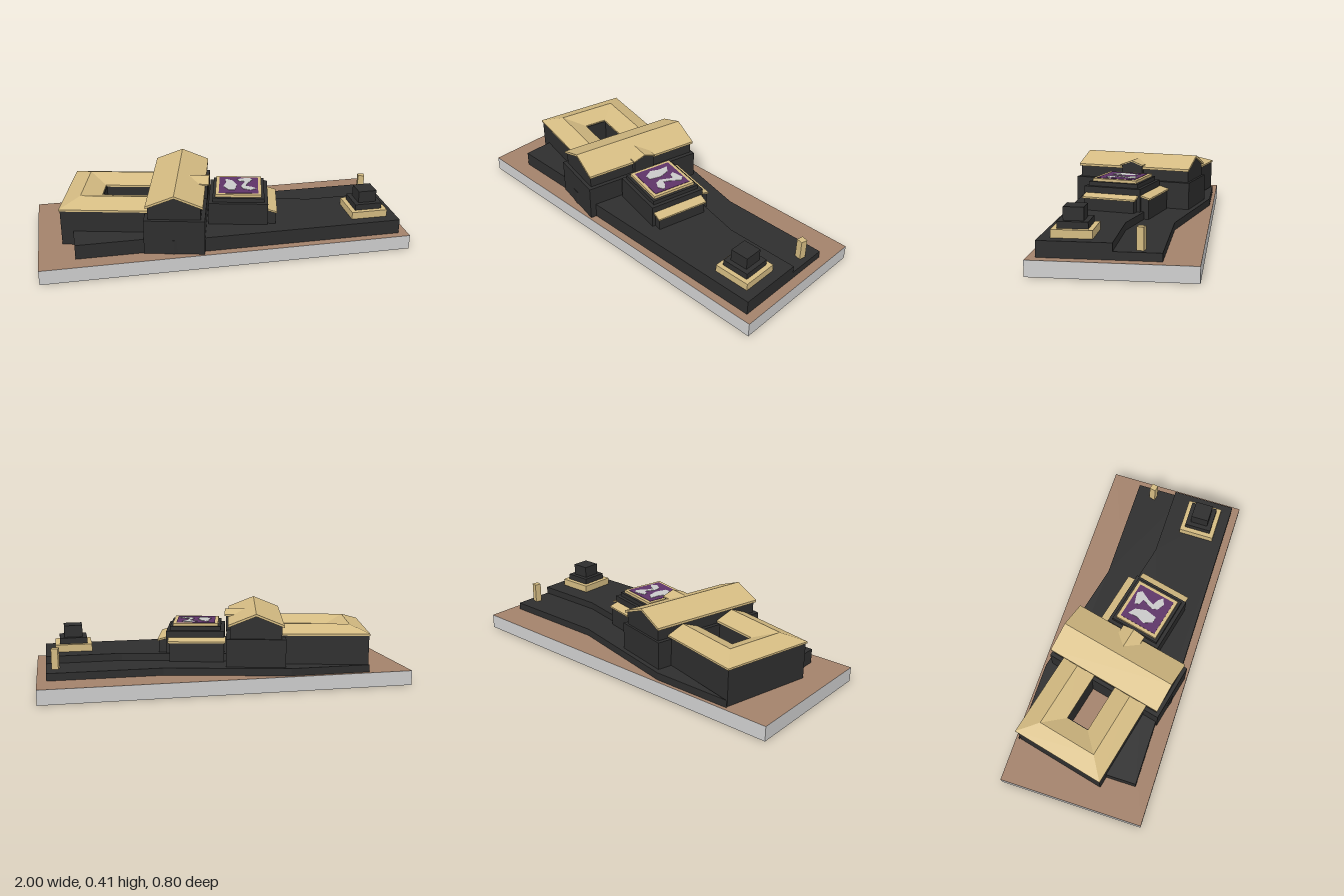
import * as THREE from 'three';

const mat = (name, color, double) => {
  const m = new THREE.MeshStandardMaterial({ color });
  m.name = name;
  if (double) m.side = THREE.DoubleSide;
  return m;
};

export function createModel() {
  const dark = mat('charcoal', 0x2e2e2e);
  const gold = mat('sand gold', 0xd4bb82, true);
  const earth = mat('earth brown', 0xa3826b);
  const grey = mat('base grey', 0xcfcfcf);
  const purple = mat('purple', 0x5e3468);
  const pale = mat('pale grey', 0xc9c9c9);

  const model = new THREE.Group();
  // Rotated frame shared by the hall, courtyard wing and pavilion
  const complex = new THREE.Group();
  complex.name = 'buildingComplex';
  complex.position.set(-0.22, 0, 0.017);
  complex.rotation.y = -0.227;
  model.add(complex);

  const add = (parent, name, geo, m) => {
    const mesh = new THREE.Mesh(geo, m);
    mesh.name = name;
    parent.add(mesh);
    return mesh;
  };
  // Box given by its extents on each axis
  const box = (parent, name, m, [x0, x1], [y0, y1], [z0, z1]) => {
    const mesh = add(parent, name, new THREE.BoxGeometry(x1 - x0, y1 - y0, z1 - z0), m);
    mesh.position.set((x0 + x1) / 2, (y0 + y1) / 2, (z0 + z1) / 2);
    return mesh;
  };
  // Plan outline (x, z) raised from y0 to y1
  const slab = (parent, name, m, pts, y0, y1) => {
    const shape = new THREE.Shape(pts.map(([x, z]) => new THREE.Vector2(x, -z)));
    const geo = new THREE.ExtrudeGeometry(shape, { depth: y1 - y0, bevelEnabled: false });
    geo.rotateX(-Math.PI / 2).translate(0, y0, 0);
    return add(parent, name, geo, m);
  };
  // Profile (x, y) extruded along z
  const prism = (parent, name, m, pts, z0, z1) => {
    const shape = new THREE.Shape(pts.map(p => new THREE.Vector2(...p)));
    const geo = new THREE.ExtrudeGeometry(shape, { depth: z1 - z0, bevelEnabled: false });
    return add(parent, name, geo.translate(0, 0, z0), m);
  };
  const gableWall = (w, y0, eave, top) => [[-w, y0], [w, y0], [w, eave], [0, top], [-w, eave]];
  const gableRoof = (w, eave, top, t) =>
    [[-w, eave - t], [0, top - t], [w, eave - t], [w, eave], [0, top], [-w, eave]];

  // Base with brown top and underside
  box(model, 'base', [grey, grey, earth, earth, grey, grey], [-1, 1], [0, 0.08], [-0.4, 0.4]);

  // Terraces
  slab(model, 'upperTerrace', dark, [[-0.81, 0.1], [-0.81, 0.31], [-0.45, 0.31], [-0.3, 0.357],
    [0.95, 0.357], [0.95, 0], [0.54, 0], [-0.2, -0.17], [-0.3, 0.19]], 0.08, 0.16);
  slab(model, 'lowerTerrace', dark, [[-0.76, -0.38], [-0.25, -0.25], [-0.2, 0.05], [0.95, 0.05],
    [0.95, -0.228], [0.34, -0.228], [-0.32, -0.38]], 0.08, 0.12);

  // Main hall
  box(complex, 'hallLowerWalls', dark, [-0.16, 0.16], [0.08, 0.27], [-0.338, 0.345]);
  prism(complex, 'hallUpperWalls', dark, gableWall(0.138, 0.26, 0.337, 0.394), -0.325, 0.325);
  prism(complex, 'hallRoof', gold, gableRoof(0.15, 0.345, 0.405, 0.013), -0.333, 0.333);

  // Cross gable facing the pavilion
  const dormer = new THREE.Group();
  dormer.name = 'crossGable';
  dormer.rotation.y = Math.PI / 2;
  complex.add(dormer);
  prism(dormer, 'crossGableWall', dark, gableWall(0.06, 0.26, 0.352, 0.376), 0.03, 0.163);
  prism(dormer, 'crossGableRoof', gold, gableRoof(0.067, 0.358, 0.382, 0.007), 0.03, 0.17);

  // Courtyard wing: U-shaped walls open to the ground in the middle
  slab(complex, 'wingWalls', dark, [[-0.13, 0.256], [-0.61, 0.256], [-0.61, -0.256], [-0.13, -0.256],
    [-0.13, -0.068], [-0.408, -0.068], [-0.408, 0.068], [-0.13, 0.068]], 0.08, 0.28);

  // Wing roof: a ridge section carried around the U with mitred corners
  const section = [[-0.615, 0.262, 0.277], [-0.615, 0.262, 0.287], [-0.513, 0.165, 0.326],
    [-0.413, 0.064, 0.287], [-0.413, 0.064, 0.277]];
  const rings = section.map(([x, z, y]) => [[-0.14, y, z], [x, y, z], [x, y, -z], [-0.14, y, -z]]);
  const pos = [];
  rings.forEach((a, i) => {
    const b = rings[(i + 1) % rings.length];
    for (let k = 0; k < 3; k++) {
      pos.push(...a[k], ...b[k], ...a[k + 1], ...b[k], ...b[k + 1], ...a[k + 1]);
    }
  });
  // Order corners so that the roof faces outward
  for (let i = 0; i < pos.length; i += 9) {
    for (let j = 0; j < 3; j++) [pos[i + 3 + j], pos[i + 6 + j]] = [pos[i + 6 + j], pos[i + 3 + j]];
  }
  const roofGeo = new THREE.BufferGeometry();
  roofGeo.setAttribute('position', new THREE.Float32BufferAttribute(pos, 3));
  roofGeo.computeVertexNormals();
  const up = roofGeo.attributes.normal.getY(6);
  if (up < 0) {
    roofGeo.setIndex([...Array(pos.length / 3).keys()].map(i => i - (i % 3) + (2 - (i % 3))));
    roofGeo.computeVertexNormals();
  }
  add(complex, 'wingRoof', roofGeo, gold);

  // Stepped square pavilion
  const square = (name, m, h, y0, y1) =>
    box(complex, name, m, [0.331 - h, 0.331 + h], [y0, y1], [-0.01 - h, -0.01 + h]);
  square('pavilionWalls', dark, 0.16, 0.08, 0.282);
  square('pavilionUpperStep', dark, 0.14, 0.282, 0.305);
  square('pavilionRoofFrame', gold, 0.125, 0.305, 0.32);
  square('pavilionRoofPanel', purple, 0.107, 0.319, 0.322);

  // Pale inlays on the pavilion roof
  slab(model, 'leftInlay', pale, [[0.05, -0.012], [0.085, 0.018], [0.095, 0.08], [0.07, 0.142],
    [0.037, 0.135], [0.018, 0.085], [0.042, 0.04]], 0.321, 0.324);
  slab(model, 'rightInlay', pale, [[0.113, 0.005], [0.18, -0.002], [0.197, 0.025], [0.155, 0.075],
    [0.14, 0.105], [0.17, 0.122], [0.19, 0.148], [0.155, 0.163], [0.118, 0.138],
    [0.112, 0.105], [0.15, 0.045], [0.118, 0.03]], 0.321, 0.324);

  // Lean-to porches on two sides of the pavilion
  const porch = (name, x, z, turn, length) => {
    const g = new THREE.Group();
    g.name = name;
    g.position.set(x, 0, z);
    g.rotation.y = turn;
    complex.add(g);
    prism(g, name + 'Walls', dark, [[-0.02, 0.08], [0.045, 0.08], [0.045, 0.226], [-0.02, 0.24]],
      -length / 2 + 0.008, length / 2 - 0.008);
    prism(g, name + 'Roof', gold, [[-0.006, 0.24], [0.052, 0.224], [0.052, 0.233], [-0.006, 0.25]],
      -length / 2, length / 2);
  };
  porch('eastPorch', 0.489, -0.01, 0, 0.3);
  porch('northPorch', 0.322, -0.168, Math.PI / 2, 0.315);

  // Stepped monument
  const step = (name, m, h, y0, y1) =>
    box(model, name, m, [0.795 - h, 0.795 + h], [y0, y1], [0.2 - h, 0.2 + h]);
  step('monumentPlinth', gold, 0.1, 0.16, 0.2);
  step('monumentMiddle', dark, 0.075, 0.2, 0.233);
  step('monumentTop', dark, 0.05, 0.233, 0.298);

  // Standing pillar
  const pillar = add(model, 'pillar', new THREE.BoxGeometry(0.036, 0.11, 0.036), gold);
  pillar.position.set(0.9, 0.175, -0.125);
  pillar.rotation.y = -0.227;

  return model;
}
